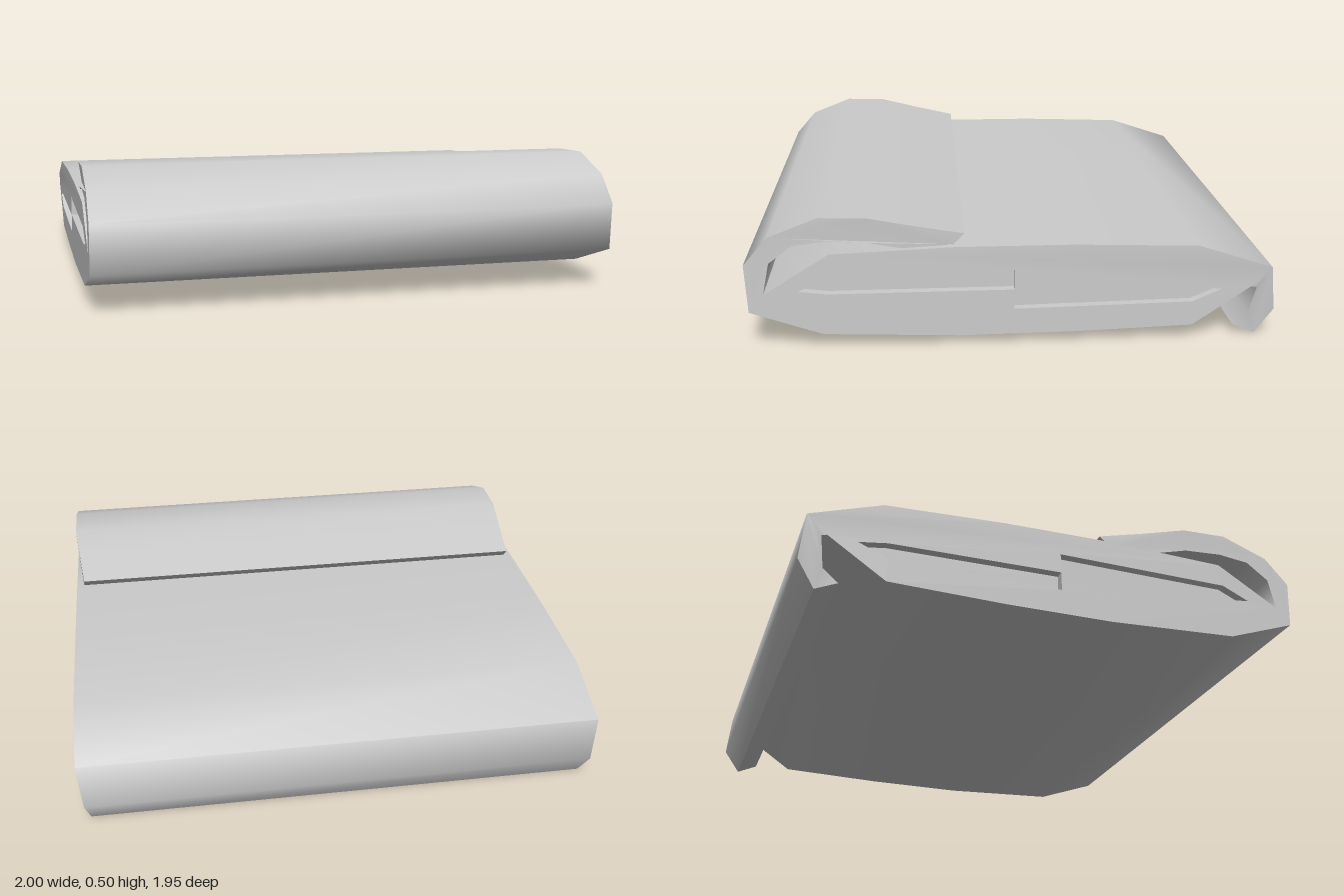
import * as THREE from 'three';
import { toCreasedNormals } from 'three/addons/utils/BufferGeometryUtils.js';

const material = new THREE.MeshStandardMaterial({ color: 0xcccccc, side: THREE.DoubleSide });
const toPoints = (list) => list.map(([z, y]) => new THREE.Vector2(z, y));

// Sweep a [z, y] cross-section across x; halfWidth(z, y) tapers the loose ends.
function sheet(name, outline, halfWidth, holes = []) {
  const shape = new THREE.Shape(toPoints(outline));
  for (const hole of holes) shape.holes.push(new THREE.Path(toPoints(hole)));
  const geometry = new THREE.ExtrudeGeometry(shape, { depth: 2, bevelEnabled: false });
  geometry.translate(0, 0, -1).rotateY(-Math.PI / 2);
  const p = geometry.attributes.position;
  for (let i = 0; i < p.count; i++) {
    p.setX(i, Math.sign(p.getX(i)) * halfWidth(p.getZ(i), p.getY(i)));
  }
  const mesh = new THREE.Mesh(toCreasedNormals(geometry, 1.3), material);
  mesh.name = name;
  return mesh;
}

export function createModel() {
  const group = new THREE.Group();
  group.name = 'foldedTowel';

  // Gaps between the inner folds, one opening from each end
  const frontGap = [[0, 0.29], [0.68, 0.275], [0.785, 0.225], [0.68, 0.212], [0, 0.214]];
  const backGap = [[0, 0.138], [-0.66, 0.15], [-0.77, 0.197], [-0.66, 0.212], [0, 0.212]];

  // Stacked layers, with the top layer hooking down over the back
  const stack = [
    [0.70, 0.057], [0.91, 0.215], [0.67, 0.365], [0.22, 0.383], [-0.22, 0.383], [-0.68, 0.368],
    [-0.956, 0.277], [-0.975, 0.104], [-0.909, 0.003], [-0.825, 0.04], [-0.883, 0.09],
    [-0.9, 0.2], [-0.88, 0.205], [-0.663, 0.057], [-0.22, 0.042], [0.2, 0.038],
  ];
  const hookTaper = (z, y) => (z > -0.8 || y > 0.15 ? 1 : y > 0.095 ? 0.982 : 0.965);
  group.add(sheet('stackedLayers', stack, hookTaper, [frontGap, backGap]));

  // Recessed inner folds seen inside the gaps
  group.add(sheet('frontInnerFold', frontGap, () => 0.965));
  group.add(sheet('backInnerFold', backGap, () => 0.965));

  // Front layer rolling up and over into the top flap
  const flap = [
    [0.18, 0.423], [0.22, 0.383], [0.41, 0.379], [0.53, 0.406], [0.68, 0.415], [0.80, 0.40],
    [0.885, 0.335], [0.91, 0.215], [0.70, 0.057], [0.965, 0.148], [0.975, 0.33], [0.885, 0.433],
    [0.705, 0.503], [0.53, 0.498], [0.36, 0.46],
  ];
  const flapTaper = (z) => 0.965 + 0.035 * THREE.MathUtils.clamp((z - 0.18) / 0.35, 0, 1);
  group.add(sheet('topFlap', flap, flapTaper));

  return group;
}
